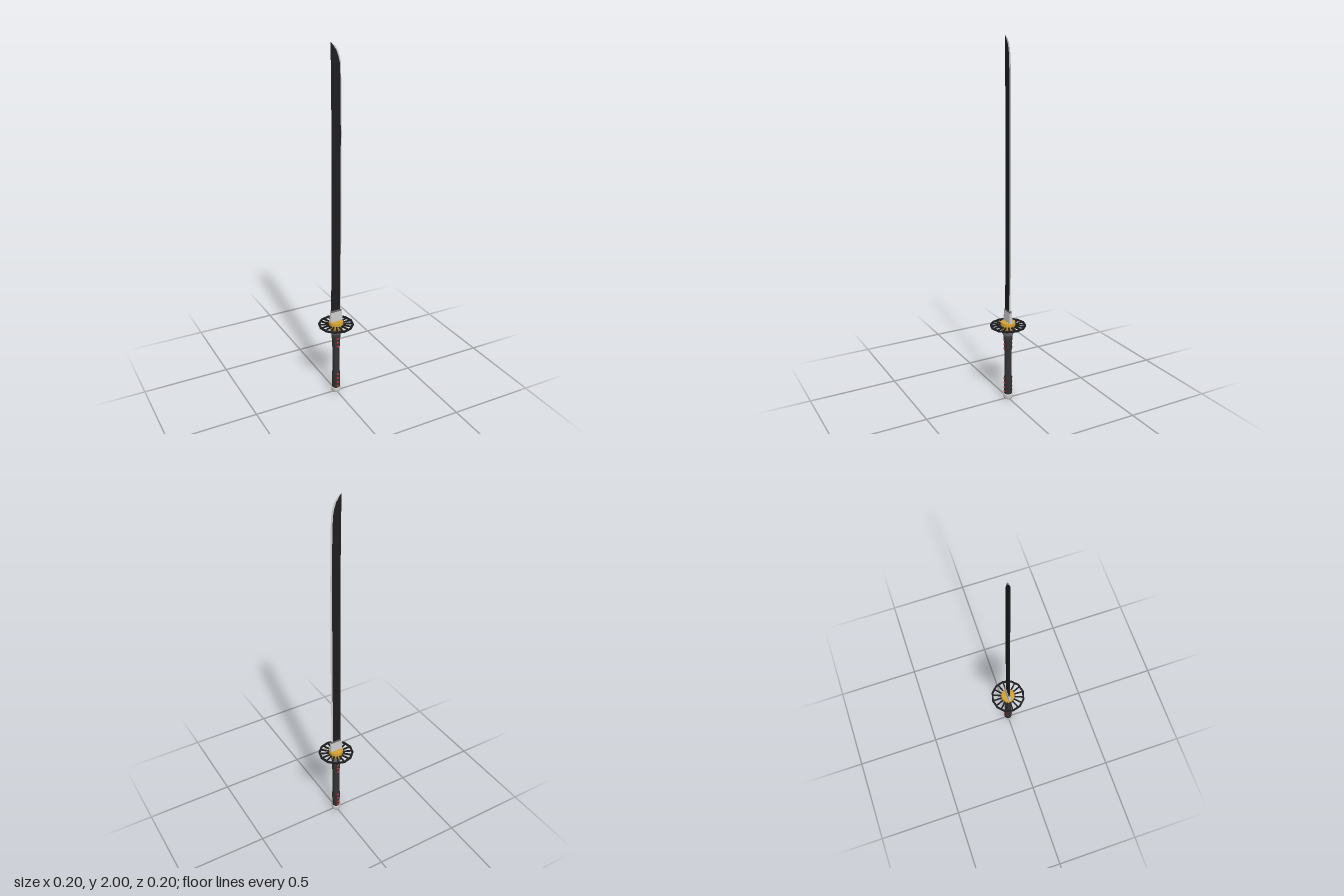
import * as THREE from 'three';

const mat = (color) => new THREE.MeshStandardMaterial({ color });

// Skin between cross-sections with the same point count (counter-clockwise from above), capped at both ends
function loft(sections) {
  const n = sections[0].length, pos = [], idx = [];
  sections.forEach((s) => s.forEach((p) => pos.push(...p)));
  for (let i = 0; i < sections.length - 1; i++) {
    for (let j = 0; j < n; j++) {
      const a = i * n + j, b = i * n + (j + 1) % n;
      idx.push(a, b, b + n, a, b + n, a + n);
    }
  }
  const top = (sections.length - 1) * n;
  for (let j = 1; j < n - 1; j++) idx.push(0, j + 1, j, top, top + j, top + j + 1);
  const g = new THREE.BufferGeometry();
  g.setAttribute('position', new THREE.Float32BufferAttribute(pos, 3));
  g.setIndex(idx);
  const flat = g.toNonIndexed();
  flat.computeVertexNormals();
  return flat;
}

export function createModel() {
  const root = new THREE.Group();
  root.name = 'sword';
  const black = mat(0x1e1e20), charcoal = mat(0x343436), steel = mat(0xcccccc);
  const darkSteel = mat(0x6a6a6c), gold = mat(0xd2a233), red = mat(0xd03a30);

  const add = (name, geometry, material, y = 0, parent = root) => {
    const m = new THREE.Mesh(geometry, material);
    m.name = name;
    m.position.y = y;
    parent.add(m);
    return m;
  };
  const lathe = (pts, sides) =>
    new THREE.LatheGeometry(pts.map(([r, y]) => new THREE.Vector2(r, y)), sides);

  // Blade stations: height, spine x, ridge x, cutting edge x
  const stations = [
    [0.50, -0.030, 0.022, 0.029], [0.75, -0.029, 0.023, 0.031], [1.10, -0.027, 0.025, 0.033],
    [1.55, -0.026, 0.025, 0.033], [1.80, -0.027, 0.023, 0.030], [1.90, -0.028, 0.019, 0.027],
    [1.93, -0.029, 0.012, 0.021], [1.96, -0.029, 0.001, 0.011], [1.985, -0.030, -0.016, -0.007],
    [2.00, -0.030, -0.0295, -0.029],
  ];
  const half = (y) => (y > 1.9 ? 0.004 - (y - 1.9) * 0.03 : 0.0045);
  add('bladeBody', loft(stations.map(([y, s, r]) => {
    const t = half(y);
    return [[s, y, 0], [s + (r - s) * 0.12, y, t], [r, y, t], [r, y, -t], [s + (r - s) * 0.12, y, -t]];
  })), black);
  add('bladeEdge', loft(stations.map(([y, , r, e]) => {
    const t = half(y);
    return [[r, y, t], [e, y, 0], [r, y, -t]];
  })), steel);

  // Blade collar, slightly tapered, with a dark lip around the blade
  add('bladeCollar', loft([[0.46, 0.039, 0.010], [0.525, 0.035, 0.008]].map(([y, w, d]) =>
    [[-w, y, d * 0.6], [-w * 0.9, y, d], [w * 0.9, y, d], [w, y, d * 0.6],
      [w, y, -d * 0.6], [w * 0.9, y, -d], [-w * 0.9, y, -d], [-w, y, -d * 0.6]])), steel);
  add('collarLip', new THREE.BoxGeometry(0.062, 0.012, 0.012), darkSteel, 0.53);

  // Gold hub
  add('guardHub', lathe([[0, 0.419], [0.037, 0.419], [0.037, 0.432], [0.041, 0.435],
    [0.041, 0.463], [0.038, 0.468], [0, 0.468]], 24), gold);

  // Open guard: twelve-sided rim and sixteen spokes
  const guard = new THREE.Group();
  guard.name = 'guard';
  guard.position.y = 0.444;
  root.add(guard);
  const ring = (r) => Array.from({ length: 12 }, (_, i) =>
    new THREE.Vector2(Math.cos(i * Math.PI / 6) * r, Math.sin(i * Math.PI / 6) * r));
  const rimShape = new THREE.Shape(ring(0.101));
  rimShape.holes.push(new THREE.Path(ring(0.090)));
  const rim = new THREE.ExtrudeGeometry(rimShape, { depth: 0.008, bevelEnabled: false });
  rim.translate(0, 0, -0.004).rotateX(-Math.PI / 2);
  add('guardRim', rim, black, 0, guard);
  for (let i = 0; i < 16; i++) {
    const spoke = new THREE.BoxGeometry(0.063, 0.007, 0.008);
    spoke.translate(0.0615, 0, 0).rotateY(i * Math.PI / 8);
    add('guardSpoke', spoke, black, 0, guard);
  }

  // Grip with thicker bands at both ends
  add('gripCollar', lathe([[0, 0.385], [0.026, 0.385], [0.030, 0.395], [0.030, 0.414],
    [0.027, 0.420], [0, 0.420]], 16), darkSteel);
  add('grip', lathe([[0, 0.02], [0.023, 0.02], [0.023, 0.13], [0.020, 0.14],
    [0.020, 0.29], [0.022, 0.30], [0.023, 0.35], [0.025, 0.36], [0.025, 0.388], [0, 0.388]], 16), charcoal);
  add('pommel', lathe([[0, 0], [0.022, 0], [0.026, 0.006], [0.027, 0.024], [0.025, 0.031], [0, 0.031]], 16), steel);

  // Red inlays down the front and back of the grip
  for (const side of [1, -1]) {
    for (const y of [0.045, 0.07, 0.098, 0.125, 0.31, 0.335, 0.36]) {
      const inlay = new THREE.CylinderGeometry(0.008, 0.008, 0.006, 4);
      inlay.rotateX(Math.PI / 2).scale(1, 0.85, 1);
      add('gripInlay', inlay, red, y).position.z = side * 0.0225;
    }
  }
  return root;
}
